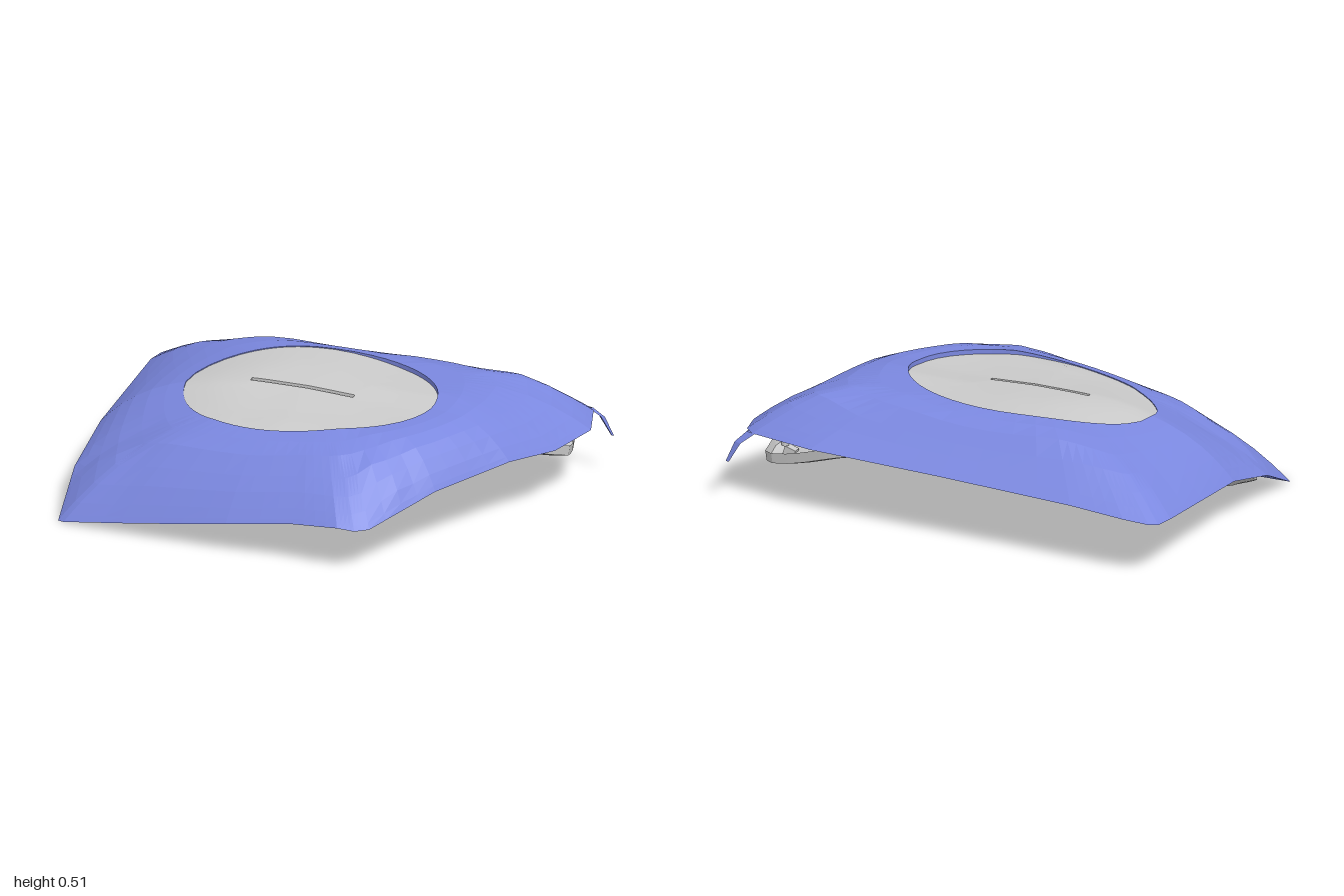
import * as THREE from 'three';
import { toCreasedNormals } from 'three/addons/utils/BufferGeometryUtils.js';

const CX = -0.09, CZ = -0.03, RX = 0.54, RZ = 0.37; // oval opening

// lower edge of the cover as [x, y, z], running once round
const RIM = [
  [-0.97, 0, 0.57], [-0.94, 0.005, 0.587], [-0.6, 0.065, 0.625], [-0.2, 0.14, 0.665], [0.1, 0.19, 0.675],
  [0.3, 0.21, 0.695], [0.37, 0.2, 0.68], [0.42, 0.2, 0.64], [0.6, 0.28, 0.35], [0.8, 0.31, 0.02],
  [0.91, 0.28, -0.22], [0.98, 0.29, -0.45], [0.935, 0.31, -0.6], [0.89, 0.31, -0.64], [0.6, 0.31, -0.695],
  [0, 0.3, -0.7], [-0.6, 0.28, -0.7], [-0.84, 0.26, -0.695], [-0.95, 0.25, -0.68], [-0.985, 0.25, -0.66],
  [-1, 0.25, -0.58], [-1, 0.21, 0], [-1, 0.13, 0.3],
];

const clamp = THREE.MathUtils.clamp;

// straight-line lookup in [position, value] pairs
function table(pairs, v) {
  if (v <= pairs[0][0]) return pairs[0][1];
  for (let i = 1; i < pairs.length; i++) {
    const [a, fa] = pairs[i - 1], [b, fb] = pairs[i];
    if (v <= b) return fa + (fb - fa) * (v - a) / (b - a);
  }
  return pairs[pairs.length - 1][1];
}

// how far the top falls away towards the front and back
const FALL_Z = [[-0.7, 0.195], [-0.6, 0.115], [-0.5, 0.025], [-0.4, 0], [-0.13, 0],
  [0, 0.018], [0.3, 0.03], [0.46, 0.075], [0.6, 0.195], [0.7, 0.295]];

// how far the tray's inner lip hangs down along the -x side
const SIDE_HANG = [[-0.4, 0.02], [0, 0.055], [0.31, 0.08], [0.47, 0.045], [0.57, 0.005]];

// height of the domed top; the front crease runs askew and the front -x quarter dips
function crown(x, z) {
  const left = Math.max(0, -x - 0.2), right = Math.max(0, x - 0.48);
  const fallX = 0.35 * left * left + 0.9 * right * right;
  const skewed = z + 0.09 * Math.max(0, 0.1 - x) * clamp(z / 0.4, 0, 1);
  const dip = 0.42 * clamp(0.2 - x, 0, 0.9) ** 1.5 * clamp(z, 0, 0.26);
  return 0.505 - Math.hypot(fallX, table(FALL_Z, skewed)) - dip;
}

// closed rings of [x, y, z] points joined into a skin
function loft(rings) {
  const n = rings[0].length, index = [];
  for (let r = 0; r < rings.length - 1; r++) {
    for (let i = 0; i < n; i++) {
      const a = r * n + i, b = r * n + (i + 1) % n;
      index.push(a, a + n, b, b, a + n, b + n);
    }
  }
  const geo = new THREE.BufferGeometry();
  geo.setAttribute('position', new THREE.Float32BufferAttribute(rings.flat(2), 3));
  geo.setIndex(index);
  return geo;
}

export function createModel() {
  const group = new THREE.Group();
  const blue = new THREE.MeshStandardMaterial({ color: 0x7b88e0, side: THREE.DoubleSide, flatShading: true });
  const grey = new THREE.MeshStandardMaterial({ color: 0xcccccc, side: THREE.DoubleSide });
  const add = (name, geo, mat, x = 0, y = 0, z = 0) => {
    const mesh = new THREE.Mesh(geo, mat);
    mesh.name = name;
    mesh.position.set(x, y, z);
    group.add(mesh);
    return mesh;
  };

  // finer rim, and the matching points on the oval
  const rim = [];
  RIM.forEach((p, i) => {
    const q = RIM[(i + 1) % RIM.length];
    for (let k = 0; k < 4; k++) rim.push(p.map((v, j) => v + (q[j] - v) * k / 4));
  });
  const angles = rim.map(([x, , z]) => Math.atan2((z - CZ) / RZ, (x - CX) / RX));
  const oval = (scale) => angles.map((a) => [CX + RX * scale * Math.cos(a), CZ + RZ * scale * Math.sin(a)]);

  // cover: from the oval lip over the dome to the rim, then turned under
  const lip = oval(1);
  const coverRing = (t) => rim.map(([x, y, z], i) => {
    const px = lip[i][0] + (x - lip[i][0]) * t, pz = lip[i][1] + (z - lip[i][1]) * t;
    return [px, crown(px, pz) + (y - crown(x, z)) * t ** 3, pz];
  });
  const inset = (s, dy) => rim.map(([x, y, z]) => [CX + (x - CX) * s, y + dy, CZ + (z - CZ) * s]);
  add('cover', loft([
    lip.map(([x, z]) => [x, crown(x, z) - 0.025, z]),
    ...[0, 0.2, 0.4, 0.6, 0.75, 0.88, 0.96, 1].map(coverRing),
    inset(0.94, 0.015), inset(0.86, 0.035),
  ]), blue);

  // tray: the inner lip hangs lower along the -x side, and the back corner drops and reaches out
  const sag = (x, z) => Math.exp(-(0.6 * (x - 0.93) ** 2 + (z + 0.58) ** 2) / 0.09);
  const trayRing = (s, dy, lift) => rim.map(([x, y, z]) => {
    const g = sag(x, z), k = s + 0.07 * g * s;
    const side = table(SIDE_HANG, z) * clamp((-x - 0.4) / 0.5, 0, 1) * clamp((0.87 - s) / 0.07, 0, 1);
    const low = y - 0.18 * g * s - side;
    return [CX + (x - CX) * k, low + (0.25 - low) * lift + dy, CZ + (z - CZ) * k];
  });
  // slot outline, pushed out by a margin
  const slot = (margin, height) => angles.map((a) => {
    const x = -0.125 + (0.225 + margin) * clamp(1.1 * Math.cos(a), -1, 1);
    const z = -0.03 + (0.01 + margin) * clamp(4 * Math.sin(a), -1, 1);
    return [x, height(x, z), z];
  });
  const ceiling = (x) => 0.257 + 0.05 * x;
  const tubeEnd = (x) => ceiling(x) - 0.015;
  // panel lies almost flush, sunk deeper towards +x
  const panel = (x, z) => crown(x, z) - 0.004 - 0.016 * clamp((x + 0.1) / 0.3, 0, 1);
  const trayGeo = loft([
    trayRing(0.875, 0.06, 0), trayRing(0.87, 0.015, 0), trayRing(0.84, 0.01, 0), trayRing(0.81, 0.01, 0.02),
    trayRing(0.785, 0.015, 0.06), trayRing(0.74, 0.015, 0.15),
    trayRing(0.6, 0.015, 0.5), trayRing(0.4, 0.008, 0.8),
    slot(0.003, ceiling), slot(0.003, tubeEnd), slot(0, tubeEnd),
    slot(0, panel),
    ...[0.5, 0.7, 0.85, 1].map((s) => oval(s).map(([x, z]) => [x, panel(x, z), z])),
  ]);
  add('trayAndOvalPanel', toCreasedNormals(trayGeo, 0.5), grey);

  // pointed tab at the back corner of the cover
  const tab = (x, y, z, w) => [[x - w, y, z - w], [x + w * 0.4, y + w * 0.5, z + w], [x + w, y, z - w * 0.3]];
  add('cornerTab', loft([
    tab(0.9, 0.31, -0.62, 0.022), tab(0.95, 0.265, -0.645, 0.016), tab(0.99, 0.18, -0.665, 0.008),
  ]), blue);

  // latch under the same corner
  const block = add('latchBlock', new THREE.BoxGeometry(0.05, 0.045, 0.035), grey, 0.8, 0.185, -0.47);
  block.rotation.z = 0.3;
  add('latchPeg', new THREE.CylinderGeometry(0.016, 0.016, 0.1, 12), grey, 0.82, 0.265, -0.48);

  return group;
}
